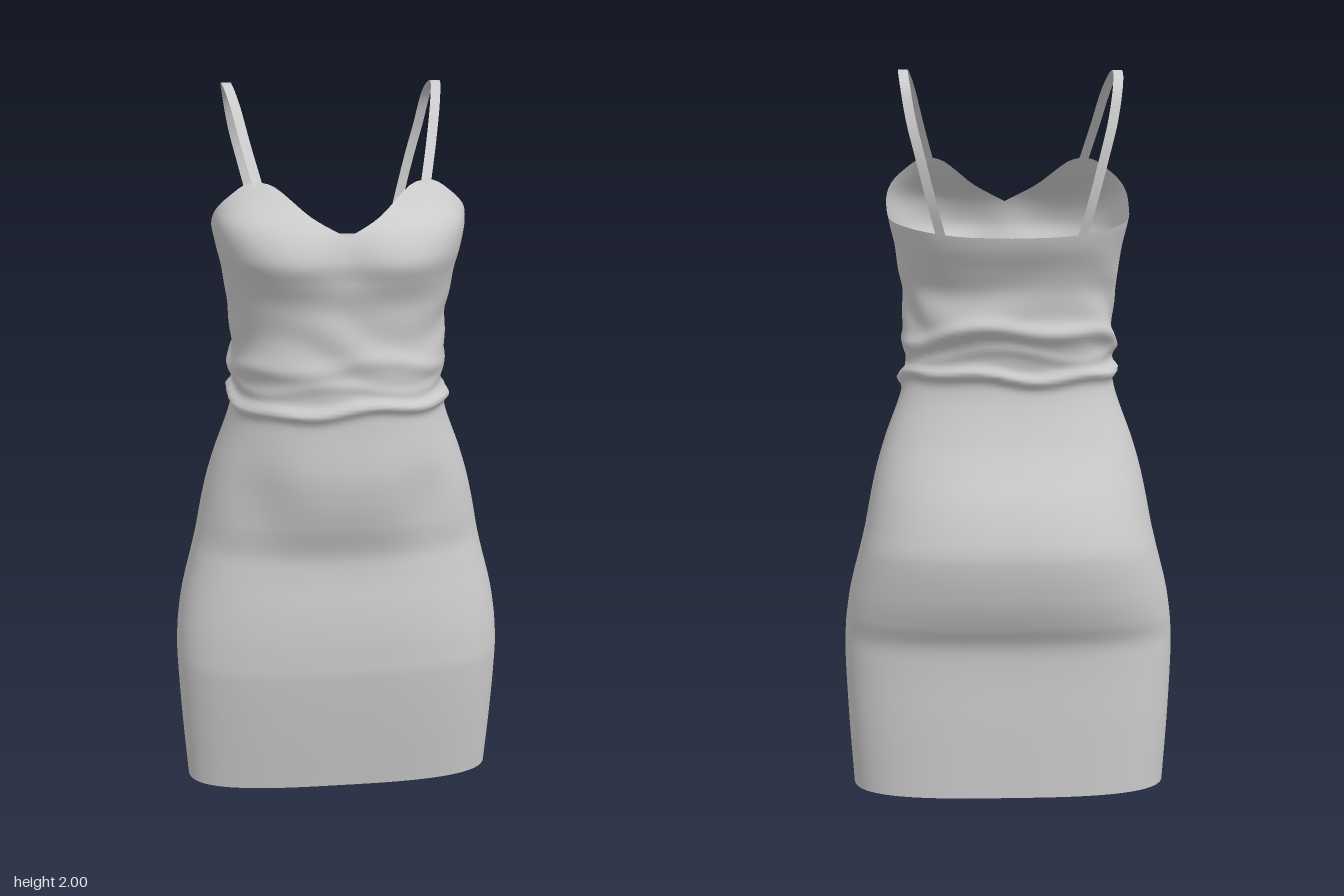
import * as THREE from 'three';

const material = new THREE.MeshStandardMaterial({ color: 0xcccccc, side: THREE.DoubleSide });

// Body sections: height, half width, front depth, back depth, squareness
const sections = [
  [0.00, 0.445, 0.150, 0.200, 3.0],
  [0.20, 0.458, 0.187, 0.205, 3.0],
  [0.38, 0.466, 0.215, 0.208, 2.9],
  [0.44, 0.465, 0.218, 0.217, 2.8],
  [0.50, 0.460, 0.219, 0.250, 2.7],
  [0.58, 0.447, 0.215, 0.282, 2.6],
  [0.69, 0.419, 0.203, 0.302, 2.6],
  [0.75, 0.405, 0.205, 0.294, 2.5],
  [0.84, 0.388, 0.236, 0.262, 2.4],
  [0.92, 0.370, 0.256, 0.220, 2.4],
  [1.00, 0.346, 0.265, 0.182, 2.4],
  [1.13, 0.300, 0.258, 0.143, 2.4],
  [1.22, 0.287, 0.258, 0.152, 2.4],
  [1.30, 0.291, 0.258, 0.178, 2.4],
  [1.40, 0.295, 0.258, 0.182, 2.4],
  [1.46, 0.305, 0.262, 0.205, 2.5],
  [1.53, 0.314, 0.287, 0.242, 2.6],
  [1.59, 0.328, 0.303, 0.258, 2.7],
  [1.66, 0.340, 0.273, 0.262, 2.8],
  [1.72, 0.336, 0.204, 0.262, 2.8],
  [1.77, 0.325, 0.155, 0.262, 2.8],
];

// Top edge: degrees from the front centre, height
const topEdge = [
  [0, 1.650], [15, 1.697], [24, 1.738], [30, 1.762], [36, 1.772], [44, 1.767],
  [54, 1.735], [66, 1.700], [90, 1.630], [130, 1.582], [155, 1.560], [180, 1.555],
];

// Smooth interpolation of column c in a table sorted by its first column
function sample(table, t, c) {
  const last = table.length - 1;
  let i = 0;
  while (i < last - 1 && t > table[i + 1][0]) i++;
  const slope = (k) => {
    const p = table[Math.max(0, k - 1)], q = table[Math.min(last, k + 1)];
    return (q[c] - p[c]) / (q[0] - p[0]);
  };
  const a = table[i], b = table[i + 1], h = b[0] - a[0];
  const s = THREE.MathUtils.clamp((t - a[0]) / h, 0, 1), s2 = s * s, s3 = s2 * s;
  return (2 * s3 - 3 * s2 + 1) * a[c] + (s3 - 2 * s2 + s) * h * slope(i)
    + (3 * s2 - 2 * s3) * b[c] + (s3 - s2) * h * slope(i + 1);
}

const bump = (d, width) => Math.exp(-(d * d) / (width * width));

// Gathered cloth: a rolled waist edge, a wavy fold above it and soft creases
function folds(a, y) {
  const roll = 1.178 + 0.010 * Math.sin(3 * a + 0.6) + 0.006 * Math.sin(7 * a);
  const fold = 1.285 + 0.022 * Math.sin(2 * a + 1.3) + 0.012 * Math.sin(5 * a);
  const crease = 1.235 + 0.018 * Math.sin(4 * a + 2);
  const zone = bump(y - 1.34, 0.11);
  return 0.020 * bump(y - roll, 0.017)
    + 0.012 * bump(y - fold, 0.024) * (1 - 0.5 * Math.cos(a))
    + 0.005 * bump(y - crease, 0.015)
    + 0.004 * zone * Math.sin(38 * y + 2.5 * Math.sin(3 * a) + 2 * a);
}

function bodyPoint(a, y) {
  const [w, f, b, n] = [1, 2, 3, 4].map((c) => sample(sections, y, c));
  const s = Math.sin(a), c = Math.cos(a);
  const r = (Math.abs(s) ** n + Math.abs(c) ** n) ** (-1 / n);
  const out = folds(a, y);
  const x = (w + out) * s * r;
  let z = ((c > 0 ? f : b) + out) * c * r;
  if (c > 0) {
    // Hollow between the cups and gentle shaping below them
    z -= 0.020 * bump(x, 0.07) * bump(y - 1.59, 0.09);
    z += 0.008 * bump(Math.abs(x) - 0.17, 0.09) * bump(y - 1.56, 0.06);
    // Flatter hips either side of the belly
    z -= 0.022 * bump(Math.abs(x) - 0.24, 0.09) * bump(y - 0.92, 0.13);
  }
  return [x, y, z];
}

// Dress shell: rings stacked from the hem to the shaped top edge
function makeBody() {
  const cols = 120, lower = 150, upper = 30, split = 1.48;
  const positions = [], index = [];
  for (let j = 0; j <= lower + upper; j++) {
    for (let i = 0; i < cols; i++) {
      const deg = (i * 360) / cols;
      const top = sample(topEdge, Math.min(deg, 360 - deg), 1);
      const y = j <= lower ? (split * j) / lower : split + ((top - split) * (j - lower)) / upper;
      positions.push(...bodyPoint(THREE.MathUtils.degToRad(deg), y));
      if (j < lower + upper) {
        const p = j * cols + i, q = j * cols + ((i + 1) % cols);
        index.push(p, q, p + cols, q, q + cols, p + cols);
      }
    }
  }
  return makeMesh('dressBody', positions, index);
}

// Shoulder strap: a flat ribbon swept over the shoulder
function makeStrap(name, side) {
  const path = new THREE.CatmullRomCurve3([
    [0.220, 1.765, 0.140], [0.245, 1.860, 0.062], [0.268, 1.955, -0.025],
    [0.284, 1.998, -0.130], [0.278, 1.955, -0.232], [0.262, 1.860, -0.272],
    [0.240, 1.770, -0.284], [0.210, 1.650, -0.277], [0.185, 1.555, -0.256],
  ].map(([x, y, z]) => new THREE.Vector3(x * side, y, z)));
  const steps = 60, positions = [], index = [];
  for (let i = 0; i <= steps; i++) {
    const t = i / steps, p = path.getPoint(t), tangent = path.getTangent(t);
    // Width runs across the shoulder, turning with the back near its end
    const across = new THREE.Vector3(1, 0, side * 0.35 * t * t);
    across.addScaledVector(tangent, -across.dot(tangent)).setLength(0.013);
    positions.push(...p.clone().sub(across).toArray(), ...p.clone().add(across).toArray());
    if (i < steps) {
      const k = 2 * i;
      index.push(k, k + 1, k + 2, k + 1, k + 3, k + 2);
    }
  }
  return makeMesh(name, positions, index);
}

function makeMesh(name, positions, index) {
  const geometry = new THREE.BufferGeometry();
  geometry.setAttribute('position', new THREE.Float32BufferAttribute(positions, 3));
  geometry.setIndex(index);
  geometry.computeVertexNormals();
  const mesh = new THREE.Mesh(geometry, material);
  mesh.name = name;
  return mesh;
}

export function createModel() {
  const dress = new THREE.Group();
  dress.name = 'dress';
  dress.add(makeBody(), makeStrap('leftStrap', 1), makeStrap('rightStrap', -1));
  return dress;
}
